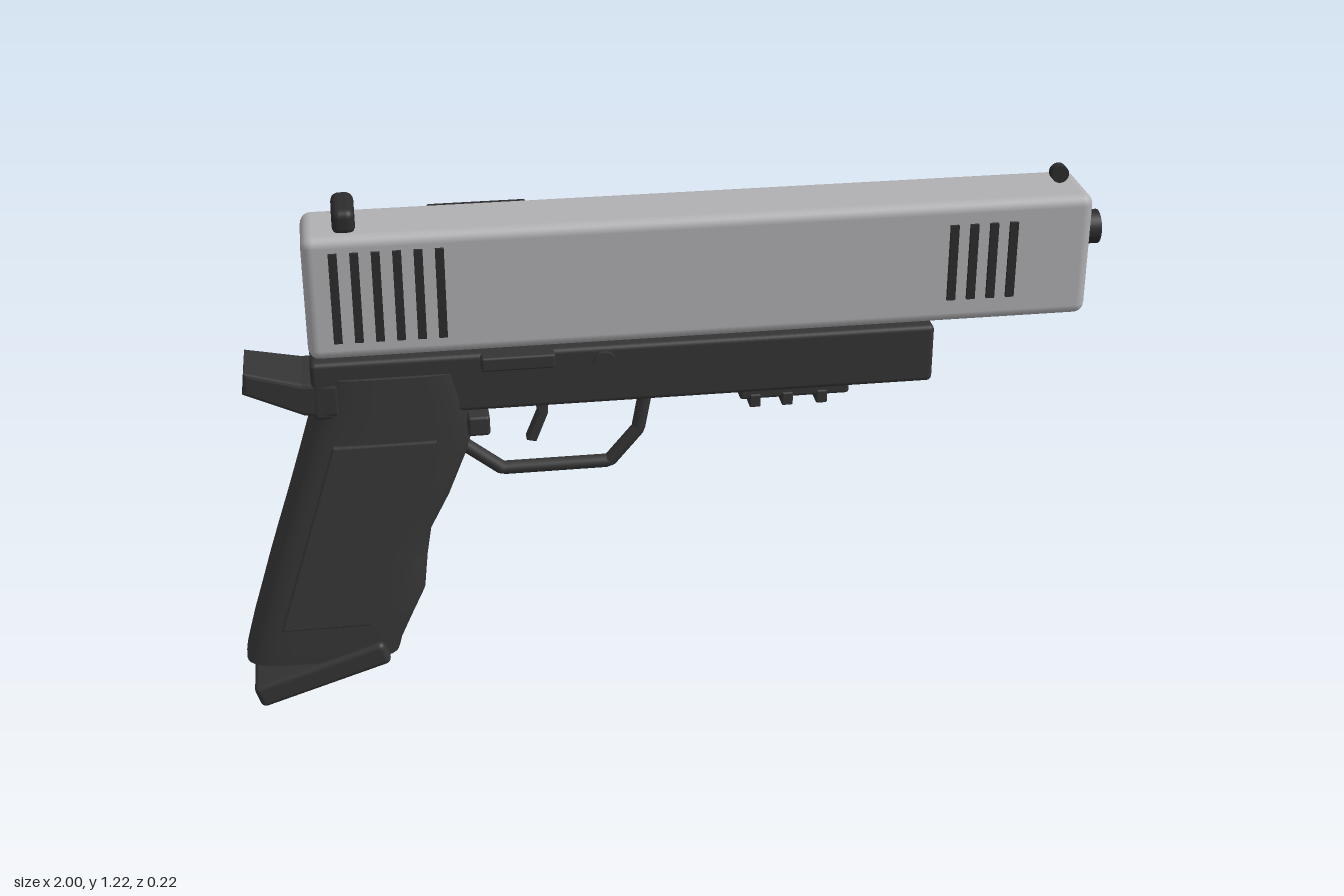
import * as THREE from 'three';
import { RoundedBoxGeometry } from 'three/addons/geometries/RoundedBoxGeometry.js';

const mat = (name, color) => {
  const m = new THREE.MeshStandardMaterial({ color });
  m.name = name;
  return m;
};

export function createModel() {
  const group = new THREE.Group();
  const steel = mat('light grey steel', 0xb0b0b3);
  const dark = mat('dark grey frame', 0x343434);
  const gripMat = mat('grip grey', 0x383838);
  const black = mat('near black', 0x2c2c2c);

  const add = (name, geo, material, x = 0, y = 0, z = 0) => {
    const m = new THREE.Mesh(geo, material);
    m.name = name;
    m.position.set(x, y, z);
    group.add(m);
    return m;
  };
  // Rounded block given by its extents
  const block = (name, material, [x0, x1], [y0, y1], [z0, z1], r = 0.008) =>
    add(name, new RoundedBoxGeometry(x1 - x0, y1 - y0, z1 - z0, 3, r), material,
      (x0 + x1) / 2, (y0 + y1) / 2, (z0 + z1) / 2);
  // Side outline extruded evenly about z = 0
  const plate = (name, material, pts, half, bevel = 0.004) => {
    const geo = new THREE.ExtrudeGeometry(new THREE.Shape(pts.map(p => new THREE.Vector2(...p))), {
      depth: 2 * (half - bevel), bevelThickness: bevel, bevelSize: bevel, bevelOffset: -bevel, bevelSegments: 2,
    });
    geo.translate(0, 0, bevel - half);
    return add(name, geo, material);
  };

  // Upper slide, barrel tip and sights
  block('slide', steel, [-0.8, 0.96], [0.89, 1.18], [-0.09, 0.09], 0.025);
  const barrel = add('barrel', new THREE.CylinderGeometry(0.039, 0.039, 0.2, 32), black, 0.9, 1.07, 0);
  barrel.rotation.z = Math.PI / 2;
  block('rearSight', black, [-0.73, -0.68], [1.172, 1.23], [-0.065, 0.065], 0.018);
  const bead = add('frontSight', new THREE.CylinderGeometry(0.02, 0.02, 0.025, 20), black, 0.9, 1.205, 0);
  bead.rotation.x = Math.PI / 2;
  block('ejectionPort', black, [-0.52, -0.3], [1.03, 1.17], [-0.108, -0.075], 0.004);

  // Grooves on both sides of the slide
  for (const s of [1, -1]) {
    for (let i = 0; i < 6; i++)
      add('rearGroove', new THREE.BoxGeometry(0.019, 0.21, 0.018), black, -0.733 + i * 0.0458, 1.04, s * 0.089);
    for (let i = 0; i < 4; i++)
      add('frontGroove', new THREE.BoxGeometry(0.019, 0.18, 0.018), black, 0.639 + i * 0.0453, 1.04, s * 0.089);
  }

  // Lower frame with its controls
  block('frame', dark, [-0.8, 0.61], [0.742, 0.882], [-0.084, 0.084], 0.012);
  block('slideRelease', dark, [-0.425, -0.26], [0.848, 0.882], [0.07, 0.108], 0.006);
  block('magazineButton', dark, [-0.46, -0.41], [0.69, 0.738], [0.05, 0.108], 0.008);
  const pin = add('framePin', new THREE.CylinderGeometry(0.026, 0.026, 0.19, 24), dark, -0.148, 0.846, 0);
  pin.rotation.x = Math.PI / 2;

  // Accessory rail
  block('rail', dark, [0.165, 0.42], [0.716, 0.75], [-0.065, 0.065], 0.008);
  for (const x of [0.2, 0.275, 0.355])
    block('railTooth', dark, [x - 0.013, x + 0.013], [0.698, 0.73], [-0.07, 0.07], 0.004);

  // Trigger guard bent from straight runs
  const guard = new THREE.CurvePath();
  const bend = [[-0.49, 0.64], [-0.455, 0.61], [-0.38, 0.55], [-0.13, 0.55], [-0.062, 0.63], [-0.038, 0.76]]
    .map(p => new THREE.Vector3(...p, 0));
  for (let i = 1; i < bend.length; i++) guard.add(new THREE.LineCurve3(bend[i - 1], bend[i]));
  add('triggerGuard', new THREE.TubeGeometry(guard, 80, 0.016, 10), dark);
  plate('trigger', dark, [[-0.305, 0.75], [-0.295, 0.69], [-0.322, 0.625], [-0.3, 0.62], [-0.272, 0.69], [-0.268, 0.75]], 0.018);

  // Grip lofted from rounded sections: height, back, front, half width
  const rows = [
    [0.11, -1.0, -0.64, 0.088], [0.14, -0.992, -0.632, 0.09], [0.2, -0.975, -0.605, 0.092],
    [0.27, -0.953, -0.572, 0.093], [0.36, -0.925, -0.562, 0.093], [0.43, -0.902, -0.55, 0.093],
    [0.52, -0.872, -0.503, 0.093], [0.62, -0.84, -0.462, 0.093], [0.7, -0.815, -0.437, 0.093],
    [0.77, -0.79, -0.435, 0.094], [0.84, -0.785, -0.455, 0.094],
  ];
  const N = 40, pos = [], idx = [];
  const pw = v => Math.sign(v) * Math.abs(v) ** 0.5;
  for (const [y, b, f, w] of rows)
    for (let i = 0; i < N; i++) {
      const a = (i / N) * Math.PI * 2;
      pos.push((b + f) / 2 + pw(Math.cos(a)) * (f - b) / 2, y, pw(Math.sin(a)) * w);
    }
  for (let r = 0; r < rows.length - 1; r++)
    for (let i = 0; i < N; i++) {
      const a = r * N + i, b = r * N + (i + 1) % N;
      idx.push(a, a + N, b, b, a + N, b + N);
    }
  // Separate end caps keep their rims sharp
  for (const r of [0, rows.length - 1]) {
    const start = pos.length / 3;
    pos.push(...pos.slice(r * N * 3, (r + 1) * N * 3));
    for (let i = 1; i < N - 1; i++)
      idx.push(start, start + (r ? i + 1 : i), start + (r ? i : i + 1));
  }
  const gripGeo = new THREE.BufferGeometry();
  gripGeo.setAttribute('position', new THREE.Float32BufferAttribute(pos, 3));
  gripGeo.setIndex(idx);
  gripGeo.computeVertexNormals();
  add('grip', gripGeo, gripMat);
  plate('gripPanels', gripMat, [[-0.91, 0.21], [-0.705, 0.21], [-0.53, 0.68], [-0.762, 0.68]], 0.1);

  // Rear tang, narrowing towards its tip
  const tang = plate('tang', dark,
    [[-0.945, 0.862], [-0.952, 0.81], [-0.82, 0.755], [-0.74, 0.75], [-0.74, 0.83], [-0.82, 0.832]], 0.08, 0.008);
  const tp = tang.geometry.attributes.position;
  for (let i = 0; i < tp.count; i++)
    tp.setZ(i, tp.getZ(i) * THREE.MathUtils.mapLinear(tp.getX(i), -0.95, -0.74, 0.85, 1.1));
  tang.geometry.computeVertexNormals();

  // Tilted magazine base
  const base = add('magazineBase', new RoundedBoxGeometry(0.325, 0.06, 0.2, 3, 0.014), dark, -0.825, 0.08, 0);
  base.rotation.z = 0.31;

  return group;
}
